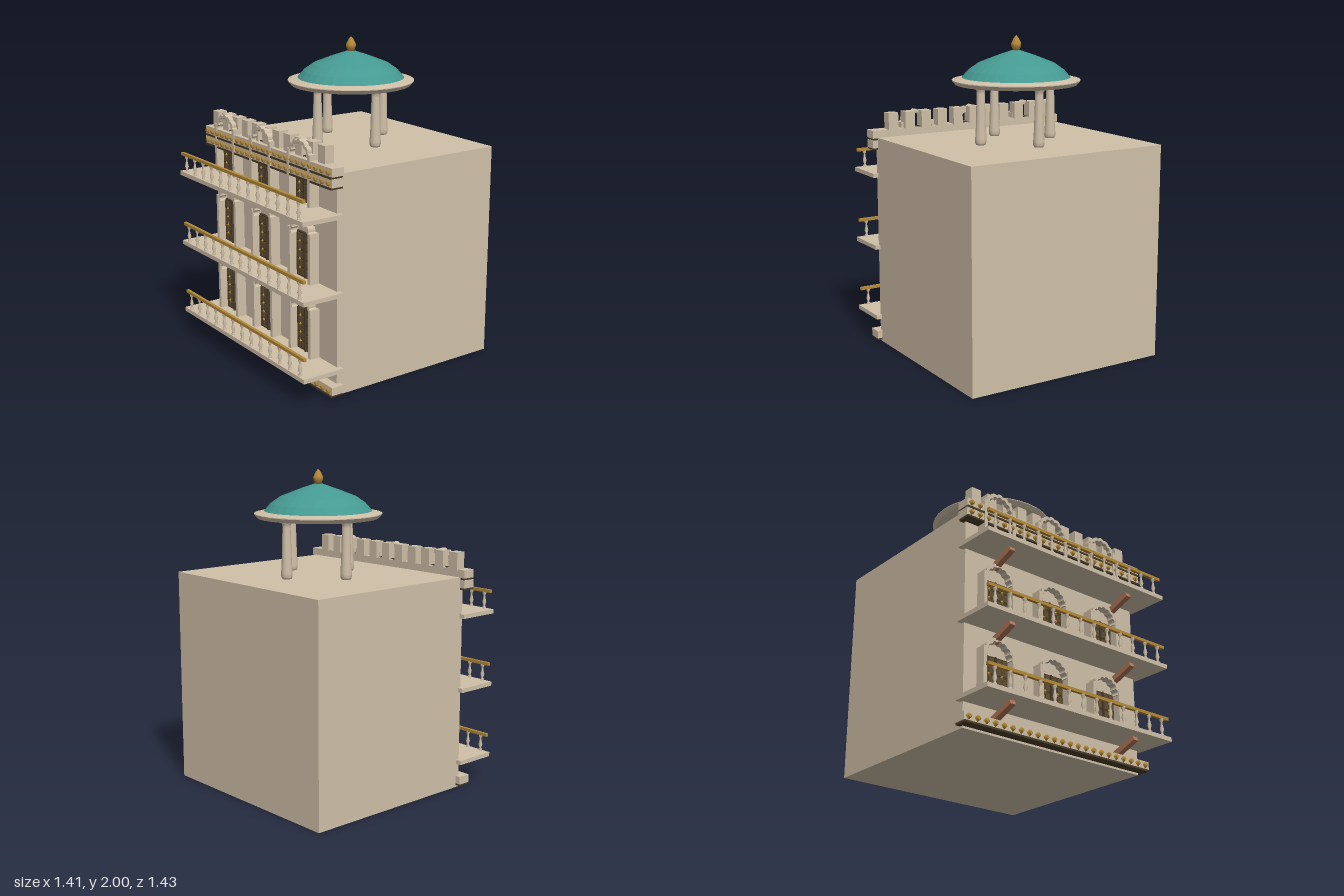
import * as THREE from 'three';

const mat = (name, color, extra = {}) => {
  const m = new THREE.MeshStandardMaterial({ color, ...extra });
  m.name = name;
  return m;
};

export function createModel() {
  const stone = mat('stone', 0xd0c0a8);
  const facetedStone = mat('faceted stone', 0xd0c0a8, { flatShading: true });
  const teal = mat('teal', 0x459a92, { flatShading: true });
  const gold = mat('gold', 0xb58a38);
  const darkWood = mat('dark wood', 0x4a3d2a);
  const panelWood = mat('panel wood', 0x5f4f35);
  const redWood = mat('red wood', 0xb07557);

  const root = new THREE.Group();
  root.name = 'palaceTower';
  const add = (parent, name, geo, material, x = 0, y = 0, z = 0) => {
    const m = new THREE.Mesh(geo, material);
    m.name = name;
    m.position.set(x, y, z);
    parent.add(m);
    return m;
  };
  // Box given by its extents on each axis
  const block = (parent, name, material, [x0, x1], [y0, y1], [z0, z1]) =>
    add(parent, name, new THREE.BoxGeometry(x1 - x0, y1 - y0, z1 - z0), material,
      (x0 + x1) / 2, (y0 + y1) / 2, (z0 + z1) / 2);
  const lathe = (points, sides) =>
    new THREE.LatheGeometry(points.map(p => new THREE.Vector2(...p)), sides);
  const group = (name, y = 0) => {
    const g = new THREE.Group();
    g.name = name;
    g.position.y = y;
    root.add(g);
    return g;
  };

  block(root, 'mainBlock', stone, [-0.67, 0.67], [0, 1.348], [-0.715, 0.462]);

  // Cornice bands with gold diamonds and a dark line below
  const diamondGeo = new THREE.CylinderGeometry(0.012, 0.021, 0.016, 4);
  diamondGeo.rotateX(Math.PI / 2);
  for (const [y0, y1] of [[0.025, 0.075], [1.283, 1.333], [1.345, 1.395]]) {
    const band = group('corniceBand');
    block(band, 'band', stone, [-0.705, 0.705], [y0, y1], [0.437, 0.52]);
    block(band, 'darkLine', darkWood, [-0.7, 0.7], [y0 - 0.012, y0], [0.44, 0.525]);
    for (let i = 0; i < 23; i++)
      add(band, 'diamond', diamondGeo, gold, -0.673 + i * 0.0612, (y0 + y1) / 2, 0.528);
  }

  // Battlements
  const parapet = group('battlements');
  for (let i = 0; i < 11; i++) {
    const x = -0.617 + i * 0.118;
    block(parapet, 'merlon', stone, [x - 0.034, x + 0.034], [1.39, 1.5], [0.428, 0.492]);
  }

  // Scalloped arch outline: lobes bulge outward between cusps
  const archPoints = (radius, lobe, dir) => {
    const pts = [];
    for (let i = 0; i <= 42; i++) {
      const t = i / 42;
      const r = radius + lobe * Math.abs(Math.sin(t * Math.PI * 7));
      pts.push(new THREE.Vector2(Math.cos(t * Math.PI) * r, Math.sin(t * Math.PI) * r));
    }
    return dir > 0 ? pts : pts.reverse();
  };
  const archGeo = new THREE.ExtrudeGeometry(
    new THREE.Shape([...archPoints(0.105, 0.01, 1), ...archPoints(0.084, 0.01, -1)]),
    { depth: 0.05, bevelEnabled: false });
  const studGeo = new THREE.OctahedronGeometry(0.013);
  studGeo.scale(1, 1, 0.6);

  const makeDoorway = (parent, x, y) => {
    const door = new THREE.Group();
    door.name = 'doorway';
    door.position.set(x, y, 0);
    parent.add(door);
    block(door, 'doorLeaves', darkWood, [-0.095, 0.095], [0, 0.28], [0.45, 0.478]);
    for (const s of [-1, 1]) {
      block(door, 'pilaster', stone, [s * 0.106 - 0.012, s * 0.106 + 0.012], [0, 0.31], [0.455, 0.527]);
      // Raised panels, two columns and five rows on each leaf
      for (let c = 0; c < 2; c++) for (let r = 0; r < 5; r++) {
        const px = s * (0.027 + c * 0.042), py = 0.03 + r * 0.055;
        block(door, 'panel', panelWood, [px - 0.016, px + 0.016], [py - 0.021, py + 0.021], [0.477, 0.483]);
      }
      for (let r = 0; r < 4; r++)
        add(door, 'stud', studGeo, gold, s * 0.048, 0.0575 + r * 0.055, 0.485);
    }
    block(door, 'doorSeam', darkWood, [-0.004, 0.004], [0, 0.28], [0.477, 0.488]);
    add(door, 'scallopedArch', archGeo, stone, 0, 0.27, 0.472);
  };

  // Turned baluster
  const balusterGeo = lathe([[0.011, 0], [0.011, 0.01], [0.006, 0.018], [0.013, 0.04],
    [0.006, 0.07], [0.006, 0.085], [0.012, 0.095], [0.012, 0.108]], 8);

  // Three storeys: balcony, railing, brackets and doors
  for (let f = 0; f < 3; f++) {
    const floor = group('balcony', 0.18 + f * 0.47);
    block(floor, 'slab', stone, [-0.705, 0.705], [-0.027, 0], [0.44, 0.718]);
    block(floor, 'handrail', gold, [-0.695, 0.695], [0.105, 0.124], [0.692, 0.712]);
    for (let i = 0; i < 13; i++)
      add(floor, 'baluster', balusterGeo, stone, -0.642 + i * 0.107, 0, 0.702);
    for (const x of [-0.472, 0.468]) {
      const bracket = add(floor, 'bracket', new THREE.BoxGeometry(0.037, 0.034, 0.178), redWood, x, -0.068, 0.563);
      bracket.rotation.x = -0.37;
    }
    for (let d = 0; d < 3; d++) makeDoorway(floor, -0.461 + d * 0.418, 0);
  }

  // Rooftop pavilion
  const pavilion = group('pavilion');
  pavilion.position.z = -0.128;
  const columnGeo = lathe([[0, 1.347], [0.028, 1.347], [0.035, 1.362], [0.035, 1.385], [0.031, 1.45],
    [0.025, 1.66], [0.026, 1.68], [0.036, 1.69], [0.038, 1.71]], 16);
  for (let i = 0; i < 4; i++) {
    const a = i * Math.PI / 2;
    add(pavilion, 'column', columnGeo, stone, Math.cos(a) * 0.254, 0, Math.sin(a) * 0.254);
  }
  add(pavilion, 'roofRim', lathe([[0, 1.703], [0.375, 1.703], [0.395, 1.727], [0.395, 1.732],
    [0.335, 1.746], [0, 1.746]], 32), facetedStone);
  add(pavilion, 'dome', lathe([[0.335, 1.744], [0.295, 1.79], [0.235, 1.832], [0.12, 1.877],
    [0.03, 1.908], [0, 1.912]], 32), teal);
  add(pavilion, 'finial', lathe([[0, 1.905], [0.018, 1.907], [0.03, 1.935], [0.031, 1.95],
    [0.018, 1.978], [0.007, 1.993], [0, 2]], 12), gold);

  return root;
}
